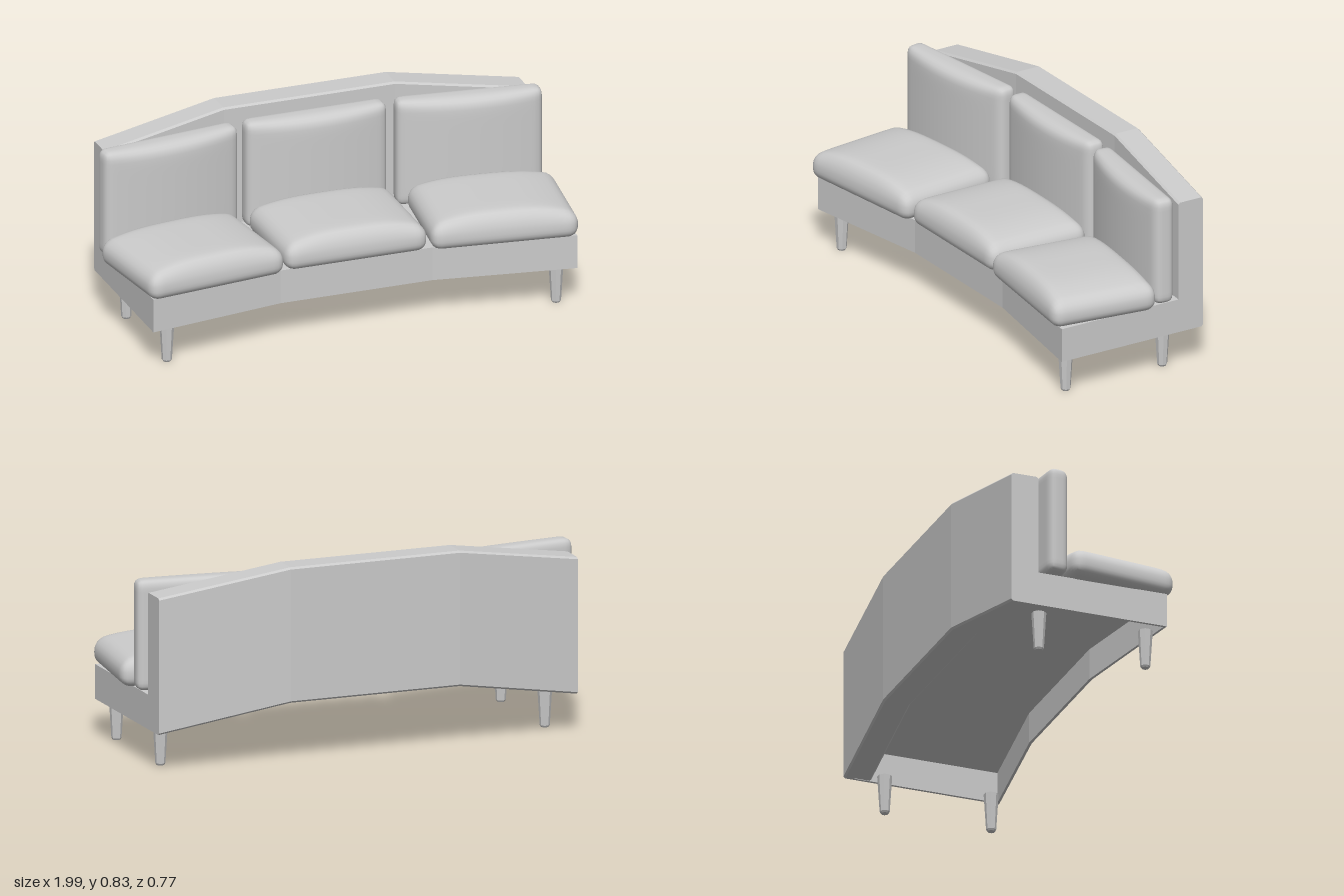
import * as THREE from 'three';
import { mergeVertices } from 'three/addons/utils/BufferGeometryUtils.js';

const material = new THREE.MeshStandardMaterial({ color: 0xcccccc, side: THREE.DoubleSide });
const LEFT = 0.942, RIGHT = -0.925; // outer ends of the frame

function add(parent, name, geometry, x = 0, y = 0, z = 0, turn = 0) {
  const mesh = new THREE.Mesh(geometry, material);
  mesh.name = name;
  mesh.position.set(x, y, z);
  mesh.rotation.y = turn;
  parent.add(mesh);
  return mesh;
}

// Rounded, finely divided box; bulge(p, u, v, w) then swells it (u, v, w run -1..1)
function cushion(w, h, d, r, segs, bulge) {
  let geo = new THREE.BoxGeometry(w, h, d, ...segs);
  geo.deleteAttribute('normal');
  geo.deleteAttribute('uv');
  geo = mergeVertices(geo);
  const pos = geo.attributes.position;
  const p = new THREE.Vector3(), core = new THREE.Vector3();
  const inner = new THREE.Vector3(w / 2 - r, h / 2 - r, d / 2 - r);
  for (let i = 0; i < pos.count; i++) {
    p.fromBufferAttribute(pos, i);
    core.copy(p).clamp(inner.clone().negate(), inner);
    p.sub(core).setLength(r).add(core);
    bulge(p, 2 * p.x / w, 2 * p.y / h, 2 * p.z / d);
    pos.setXYZ(i, p.x, p.y, p.z);
  }
  geo.computeVertexNormals();
  return geo;
}

// Flat-faced loft through equal-length rings of [x, y, z], capped at both ends
function loft(rings) {
  const out = [];
  const n = rings[0].length;
  for (let k = 0; k < rings.length - 1; k++) {
    for (let i = 0; i < n; i++) {
      const j = (i + 1) % n, a = rings[k], b = rings[k + 1];
      out.push(...a[i], ...b[i], ...b[j], ...a[i], ...b[j], ...a[j]);
    }
  }
  const first = rings[0], last = rings[rings.length - 1];
  for (let i = 1; i < n - 1; i++) {
    out.push(...first[0], ...first[i], ...first[i + 1]);
    out.push(...last[0], ...last[i + 1], ...last[i]);
  }
  const geo = new THREE.BufferGeometry();
  geo.setAttribute('position', new THREE.Float32BufferAttribute(out, 3));
  geo.computeVertexNormals();
  return geo;
}

// Chamfered rectangle in the y-z plane at a given x
function section(x, y0, y1, z0, z1, c = 0.008) {
  return [
    [x, y0, z0 + c], [x, y0 + c, z0], [x, y1 - c, z0], [x, y1, z0 + c],
    [x, y1, z1 - c], [x, y1 - c, z1], [x, y0 + c, z1], [x, y0, z1 - c],
  ];
}

// Plan outline ([x, z] points) raised from y0 to y1
function slab(points, y0, y1) {
  const shape = new THREE.Shape(points.map(([x, z]) => new THREE.Vector2(x, -z)));
  const geo = new THREE.ExtrudeGeometry(shape, { depth: y1 - y0, bevelEnabled: false });
  return geo.rotateX(-Math.PI / 2).translate(0, y0, 0);
}

export function createModel() {
  const sofa = new THREE.Group();
  sofa.name = 'curvedSofa';

  // Base: skirt along the front and ends, open underneath, with a flat deck
  const base = new THREE.Group();
  base.name = 'base';
  sofa.add(base);
  const front = [[RIGHT, 0.345], [-0.33, 0.25], [0.34, 0.25], [LEFT, 0.345]];
  const wall = 0.012;
  const inside = front.map(([x, z], i) => [x + (i === 0 ? wall : i === 3 ? -wall : 0), z - wall]);
  add(base, 'skirt', slab([
    [RIGHT, -0.3], ...front, [LEFT, -0.3],
    [LEFT - wall, -0.3], ...inside.reverse(), [RIGHT + wall, -0.3],
  ], 0.165, 0.3));
  add(base, 'deck', slab([
    [RIGHT, -0.24], ...front, [LEFT, -0.24], [0.375, -0.29], [-0.38, -0.29],
  ], 0.3, 0.312));

  // Backrest: set back and raised between its two bends
  add(sofa, 'backrest', loft([
    section(RIGHT, 0.165, 0.745, -0.345, -0.225),
    section(-0.38, 0.26, 0.835, -0.395, -0.275),
    section(0.375, 0.26, 0.835, -0.395, -0.275),
    section(LEFT, 0.165, 0.745, -0.345, -0.225),
  ]));

  // Seat cushions with a crowned top, back cushions with a swollen front
  const seat = cushion(0.625, 0.105, 0.475, 0.045, [32, 8, 28], (p, u, v, w) => {
    if (v > 0) p.y += 0.043 * v * (1 - Math.abs(u) ** 3) * (1 - 0.6 * Math.abs(w) ** 8);
  });
  const back = cushion(0.62, 0.468, 0.085, 0.03, [32, 28, 8], (p, u, v, w) => {
    if (w > 0) p.z += 0.035 * w * (1 - u * u) * (1 - 0.5 * Math.abs(v) ** 10);
  });
  for (const side of [-1, 0, 1]) {
    const place = ['right', 'centre', 'left'][side + 1];
    const turn = -0.126 * side, shift = Math.abs(side);
    add(sofa, place + 'SeatCushion', seat, side * 0.661, 0.363, 0.05 + 0.056 * shift, turn);
    add(sofa, place + 'BackCushion', back, side * 0.66, 0.551, -0.231 + 0.046 * shift, turn);
  }

  // Tapered eight-sided legs with a softened foot
  const profile = [[0, 0], [0.016, 0], [0.021, 0.008], [0.031, 0.168], [0, 0.168]];
  const leg = new THREE.LatheGeometry(profile.map(([x, y]) => new THREE.Vector2(x, y)), 8, Math.PI / 8)
    .toNonIndexed();
  leg.computeVertexNormals();
  for (const [side, x] of [['right', -0.842], ['left', 0.872]]) {
    add(sofa, side + 'FrontLeg', leg, x, 0, 0.282);
    add(sofa, side + 'BackLeg', leg, x, 0, -0.19);
  }
  return sofa;
}
